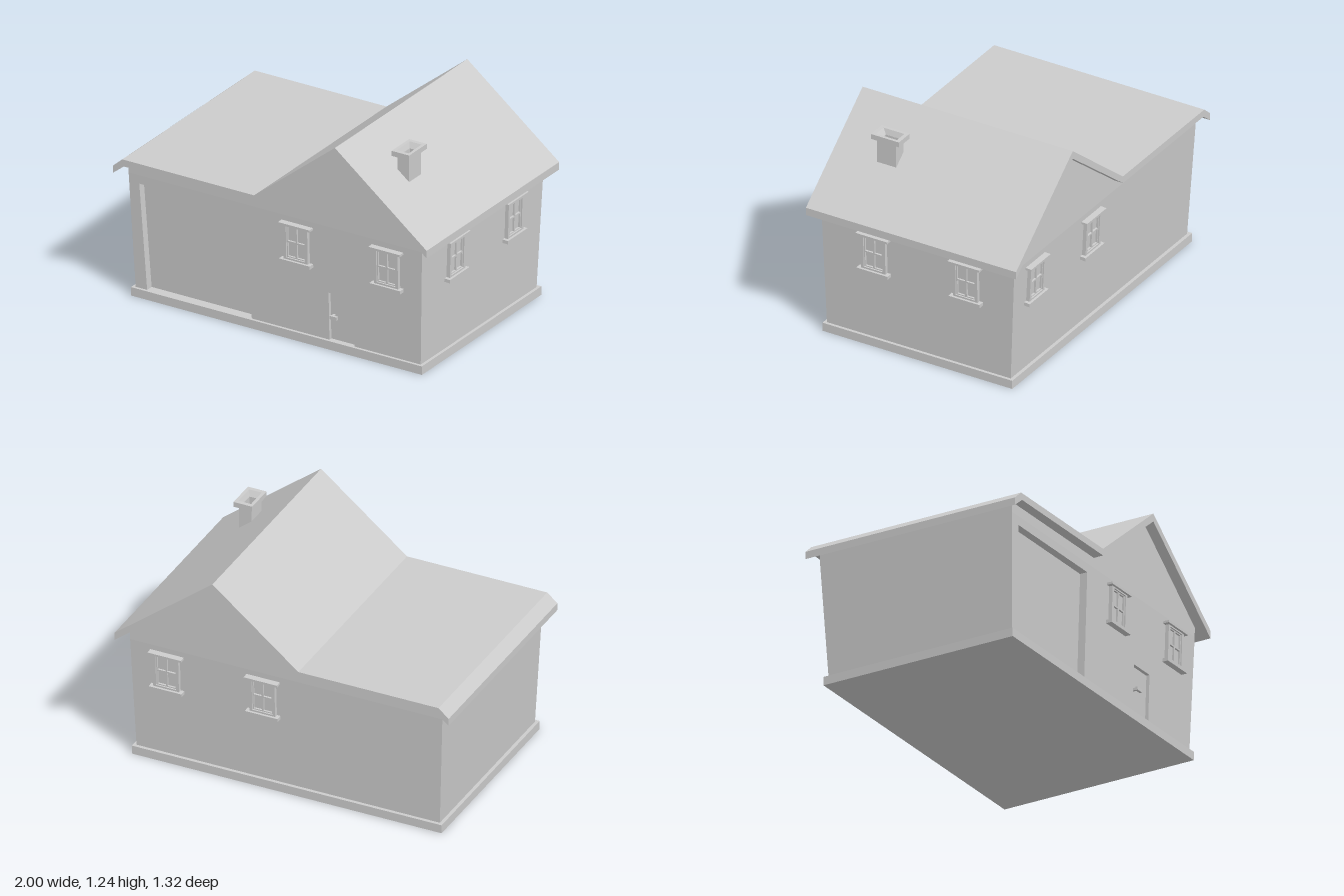
import * as THREE from 'three';

const material = new THREE.MeshStandardMaterial({ color: 0xcccccc, flatShading: true });
const doubleSided = new THREE.MeshStandardMaterial({ color: 0xcccccc, flatShading: true, side: THREE.DoubleSide });

const BASE = 0.05, EAVE = 0.73;
// The walls lean outwards as they rise
const frontZ = y => 0.583 + 0.03 * (y - BASE);
const backZ = y => -0.575 - 0.051 * (y - BASE);
const leftX = y => -0.905 - 0.047 * (y - BASE);
const rightX = y => 0.912 + 0.031 * (y - BASE);

function add(parent, name, geometry, mat = material) {
  const mesh = new THREE.Mesh(geometry, mat);
  mesh.name = name;
  parent.add(mesh);
  return mesh;
}

// Box given by its limits on each axis
function box(parent, name, x0, x1, y0, y1, z0, z1) {
  const g = new THREE.BoxGeometry(x1 - x0, y1 - y0, z1 - z0);
  g.translate((x0 + x1) / 2, (y0 + y1) / 2, (z0 + z1) / 2);
  return add(parent, name, g);
}

const polygon = points => new THREE.Shape(points.map(p => new THREE.Vector2(...p)));
const rect = (x0, x1, y0, y1) => [[x0, y0], [x1, y0], [x1, y1], [x0, y1]];

function extrude(points, depth, holes = []) {
  const shape = polygon(points);
  shape.holes = holes.map(polygon);
  return new THREE.ExtrudeGeometry(shape, { depth, bevelEnabled: false });
}

// Extrusion whose near and far faces follow z functions of the height
function leaningSlab(points, zFar, zNear) {
  const g = extrude(points, 1);
  const p = g.attributes.position;
  for (let i = 0; i < p.count; i++) {
    const y = p.getY(i);
    p.setZ(i, p.getZ(i) > 0.5 ? zNear(y) : zFar(y));
  }
  g.computeVertexNormals();
  return g;
}

// Four-pane window; local z points out of the wall
function createWindow() {
  const w = new THREE.Group();
  w.name = 'window';
  const casing = add(w, 'windowCasing', extrude(rect(-0.077, 0.077, -0.105, 0.11), 0.03,
    [rect(-0.06, 0.06, -0.09, 0.097)]));
  casing.position.z = -0.008;
  const panes = [];
  for (const x of [-0.054, 0.005])
    for (const y of [-0.084, 0.008]) panes.push(rect(x, x + 0.049, y, y + 0.083));
  add(w, 'windowSash', extrude(rect(-0.06, 0.06, -0.09, 0.097), 0.014, panes));
  box(w, 'windowGlass', -0.06, 0.06, -0.09, 0.097, -0.008, 0.003);
  box(w, 'windowSill', -0.098, 0.098, -0.12, -0.1, -0.008, 0.036);
  box(w, 'windowLintel', -0.1, 0.1, 0.105, 0.118, -0.008, 0.036);
  return w;
}

export function createModel() {
  const house = new THREE.Group();
  house.name = 'house';

  box(house, 'foundation', -0.925, 0.93, 0, BASE, -0.595, 0.6);

  // Wall core; its front face doubles as the garage door panel
  const recess = 0.045;
  const coreFront = y => frontZ(y) - recess;
  const outline = [
    [leftX(BASE), BASE], [rightX(BASE), BASE], [rightX(EAVE), EAVE], [leftX(EAVE), EAVE]
  ];
  add(house, 'wallsAndGarageDoor', leaningSlab(outline, backZ, coreFront));

  // Front wall notched around the garage door and the entrance
  const front = [
    outline[0], [-0.832, BASE], [-0.87, 0.68], [-0.165, 0.68], [-0.165, BASE],
    [0.33, BASE], [0.33, 0.333], [0.49, 0.333], [0.49, BASE], ...outline.slice(1)
  ];
  add(house, 'frontWall', leaningSlab(front, coreFront, frontZ));
  add(house, 'entranceDoor',
    leaningSlab(rect(0.33, 0.49, BASE, 0.333), coreFront, y => frontZ(y) - 0.02));

  // Door handle
  box(house, 'doorHandleStem', 0.347, 0.36, 0.188, 0.202, 0.56, 0.598);
  box(house, 'doorHandle', 0.345, 0.39, 0.185, 0.205, 0.591, 0.606);

  // Upright wall band and gable beneath the roof
  const gable = extrude([
    [leftX(EAVE), EAVE], [rightX(EAVE), EAVE], [0.935, 0.792], [0.415, 1.205],
    [-0.1, 0.797], [-0.94, 0.797]
  ], frontZ(EAVE) - backZ(EAVE));
  add(house, 'gable', gable).position.z = backZ(EAVE);

  // Roof sheet with a flat part, a ridge and a clipped eave
  const roof = extrude([
    [-1, 0.735], [-0.93, 0.79], [-0.1, 0.79], [0.415, 1.196], [1, 0.735],
    [1, 0.78], [0.415, 1.243], [-0.1, 0.83], [-0.94, 0.83], [-1, 0.778]
  ], 1.324);
  add(house, 'roof', roof).position.z = -0.662;

  // Windows on the front, the back and one side
  const windowY = 0.58;
  const place = (x, z, turn, lean) => {
    const w = createWindow();
    w.position.set(x, windowY, z);
    w.rotation.order = 'YXZ';
    w.rotation.set(Math.atan(lean), turn, 0);
    house.add(w);
  };
  for (const x of [0.137, 0.713]) {
    place(x, frontZ(windowY), 0, 0.03);
    place(x, backZ(windowY), Math.PI, 0.051);
  }
  for (const z of [0.27, -0.31]) place(rightX(windowY), z, Math.PI / 2, 0.031);

  // Hollow chimney with a funnel mouth
  const chimney = new THREE.Group();
  chimney.name = 'chimney';
  chimney.position.set(0.676, 0, 0.328);
  house.add(chimney);
  const ring = (name, w, d, holeW, holeD, y0, y1) => {
    const g = extrude(rect(-w / 2, w / 2, -d / 2, d / 2), y1 - y0,
      [rect(-holeW / 2, holeW / 2, -holeD / 2, holeD / 2)]);
    g.rotateX(-Math.PI / 2);
    add(chimney, name, g).position.y = y0;
  };
  ring('chimneyStack', 0.075, 0.12, 0.05, 0.09, 0.98, 1.15);
  ring('chimneyCap', 0.112, 0.176, 0.076, 0.13, 1.15, 1.18);
  const funnel = new THREE.CylinderGeometry(Math.SQRT1_2, Math.SQRT1_2 * 0.67, 0.03, 4, 1, true);
  funnel.rotateY(Math.PI / 4).scale(0.076, 1, 0.13);
  add(chimney, 'chimneyMouth', funnel, doubleSided).position.y = 1.165;

  return house;
}
